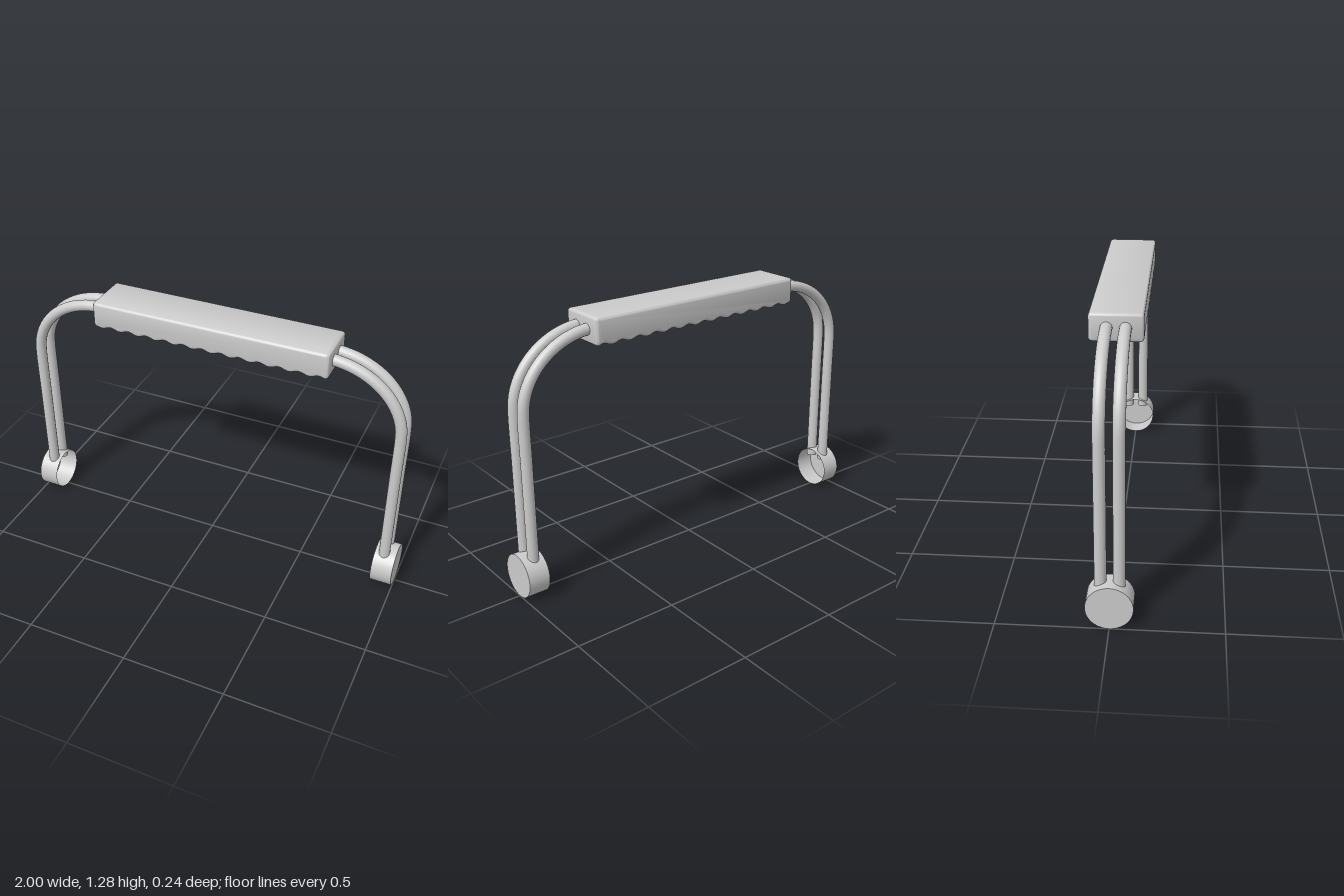
import * as THREE from 'three';
import { toCreasedNormals } from 'three/addons/utils/BufferGeometryUtils.js';

const material = new THREE.MeshStandardMaterial({ color: 0xcccccc });
const thinMaterial = new THREE.MeshStandardMaterial({ color: 0xcccccc, side: THREE.DoubleSide });

function named(name, geometry, mat = material) {
  const mesh = new THREE.Mesh(geometry, mat);
  mesh.name = name;
  return mesh;
}

// Handle rod: two legs joined over the top by elliptical bends
function rodGeometry() {
  const legX = 0.94, bendX = 0.57, bendY = 0.89, topY = 1.217, radius = 0.027;
  const points = [];
  for (const y of [0.16, 0.4, 0.65]) points.push(new THREE.Vector3(-legX, y, 0));
  const steps = 10;
  const bend = [];
  for (let i = 0; i <= steps; i++) {
    const a = (i / steps) * Math.PI / 2;
    bend.push(new THREE.Vector3(-bendX - (legX - bendX) * Math.cos(a), bendY + (topY - bendY) * Math.sin(a), 0));
  }
  points.push(...bend, new THREE.Vector3(0, topY, 0));
  const mirrored = points.slice(0, -1).reverse().map(p => new THREE.Vector3(-p.x, p.y, 0));
  const curve = new THREE.CatmullRomCurve3([...points, ...mirrored]);
  return new THREE.TubeGeometry(curve, 120, radius, 20);
}

// Grip: rounded bar with finger ribs across its underside
function gripGeometry() {
  const x0 = -0.567, x1 = 0.603, top = 1.28, bottom = 1.152, r = 0.018;
  const ribs = 12, perRib = 10, depth = 0.006, bevel = 0.016, width = 0.238;
  const shape = new THREE.Shape();
  shape.moveTo(x0, bottom + r);
  shape.quadraticCurveTo(x0, bottom, x0 + r, bottom);
  const n = ribs * perRib, span = x1 - x0 - 2 * r;
  for (let i = 1; i <= n; i++) {
    shape.lineTo(x0 + r + span * i / n, bottom - depth * Math.sin(i / perRib * Math.PI * 2));
  }
  shape.quadraticCurveTo(x1, bottom, x1, bottom + r);
  shape.lineTo(x1, top - r);
  shape.quadraticCurveTo(x1, top, x1 - r, top);
  shape.lineTo(x0 + r, top);
  shape.quadraticCurveTo(x0, top, x0, top - r);
  const geometry = new THREE.ExtrudeGeometry(shape, {
    depth: width - 2 * bevel, bevelEnabled: true, bevelThickness: bevel,
    bevelSize: bevel, bevelOffset: -bevel, bevelSegments: 4, curveSegments: 6,
  });
  geometry.translate(0, 0, -width / 2 + bevel);
  return toCreasedNormals(geometry, 0.6);
}

// Foot cup: thin round wall, closed outside and open toward the middle
function footCup(side) {
  const radius = 0.105, length = 0.105;
  const cup = new THREE.Group();
  cup.name = side > 0 ? 'leftFootCup' : 'rightFootCup';
  const wall = named('cupWall', new THREE.CylinderGeometry(radius, radius, length, 48, 1, true), thinMaterial);
  wall.rotation.z = Math.PI / 2;
  const disc = named('cupDisc', new THREE.CircleGeometry(radius, 48), thinMaterial);
  disc.rotation.y = side * Math.PI / 2;
  disc.position.x = side * length / 2;
  cup.add(wall, disc);
  cup.position.set(side * (1 - length / 2), radius, 0);
  return cup;
}

export function createModel() {
  const model = new THREE.Group();
  model.name = 'carryHandle';
  model.add(named('grip', gripGeometry()));

  const rod = rodGeometry();
  for (const side of [1, -1]) {
    const handleRod = named(side > 0 ? 'frontRod' : 'backRod', rod);
    handleRod.position.z = side * 0.041;
    model.add(handleRod);

    // Caps closing the rod ends inside the cups
    for (const end of [1, -1]) {
      const cap = named('rodEnd', new THREE.CircleGeometry(0.027, 20));
      cap.rotation.x = Math.PI / 2;
      cap.position.set(end * 0.94, 0.16, side * 0.041);
      model.add(cap);
    }
    model.add(footCup(side));
  }
  return model;
}
